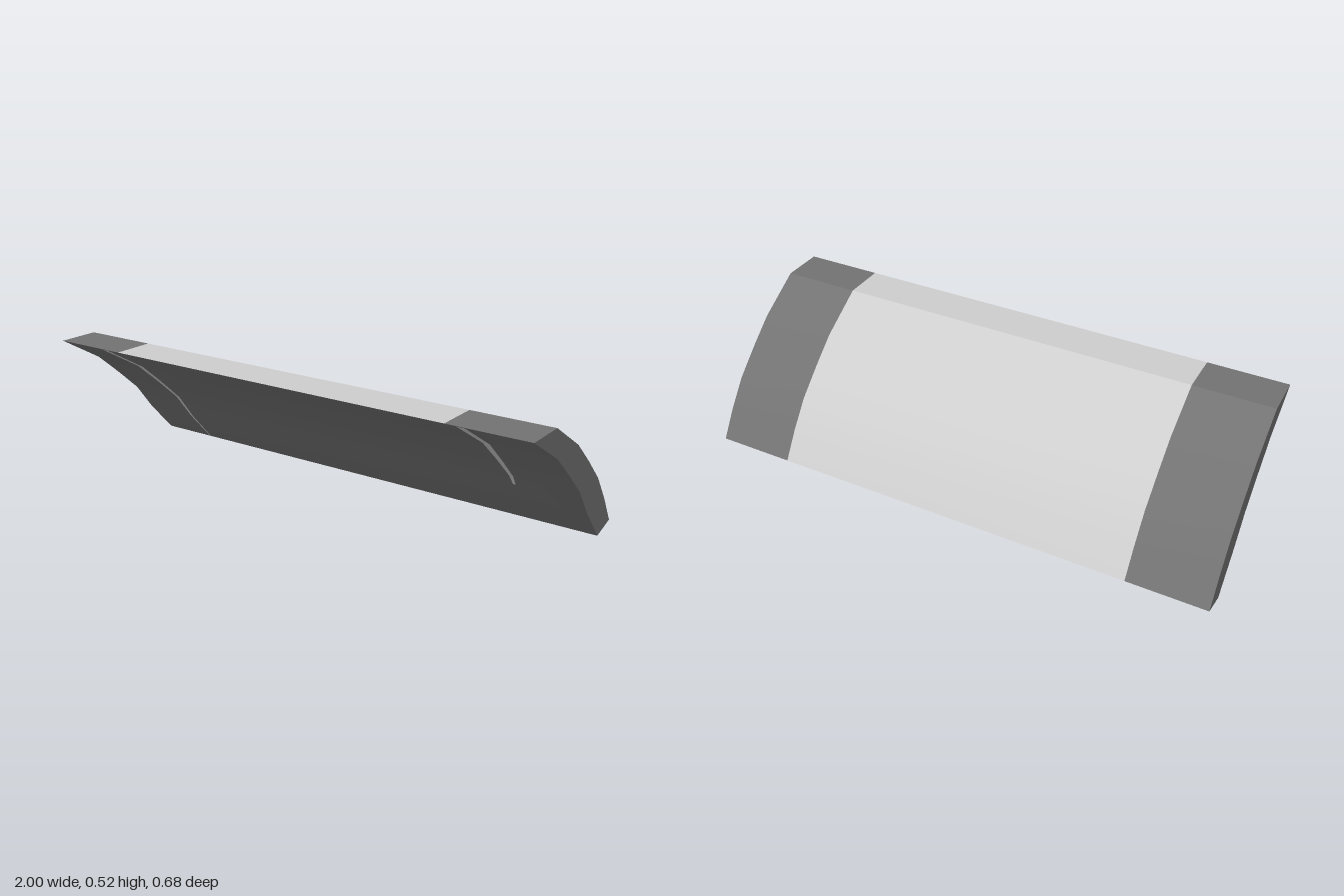
import * as THREE from 'three';
import { toCreasedNormals } from 'three/addons/utils/BufferGeometryUtils.js';

// Side profile as [z, y], running over the outer skin and back along the inner one
const outer = [[0.34, 0.515], [0.178, 0.515], [0, 0.408], [-0.1, 0.322], [-0.198, 0.23], [-0.275, 0.128], [-0.34, 0.025]];
const inner = [[-0.24, 0], [-0.125, 0.126], [-0.045, 0.23], [0.055, 0.32], [0.16, 0.409], [0.34, 0.515]];
const lowerEdge = [outer[outer.length - 1], inner[0]];

const dark = new THREE.MeshStandardMaterial({ color: 0x727272 });
dark.name = 'dark grey';
const light = new THREE.MeshStandardMaterial({ color: 0xcdcdcd });
light.name = 'light grey';

// Skin swept along a profile between x limits, which may vary from point to point
function strip(points, left, right) {
  const at = (limit, i) => (typeof limit === 'function' ? limit(i / (points.length - 1)) : limit);
  const corner = (limit, i) => [at(limit, i), points[i][1], points[i][0]];
  const positions = [];
  for (let i = 0; i < points.length - 1; i++) {
    const a = corner(left, i), b = corner(right, i);
    const c = corner(right, i + 1), d = corner(left, i + 1);
    positions.push(...a, ...b, ...c, ...a, ...c, ...d);
  }
  const geometry = new THREE.BufferGeometry();
  geometry.setAttribute('position', new THREE.Float32BufferAttribute(positions, 3));
  return toCreasedNormals(geometry, 0.45);
}

// Flat end face; side is +1 or -1
function endCap(side) {
  const outline = [...outer, ...inner.slice(0, -1)].map(([z, y]) => new THREE.Vector2(-side * z, y));
  return new THREE.ShapeGeometry(new THREE.Shape(outline)).rotateY(side * Math.PI / 2).translate(side, 0, 0);
}

export function createModel() {
  const group = new THREE.Group();
  group.name = 'curvedPanel';
  const add = (name, geometry, material) => {
    const mesh = new THREE.Mesh(geometry, material);
    mesh.name = name;
    group.add(mesh);
  };

  // Outer skin: light centre between two dark bands
  add('centrePanel', strip(outer, -0.7, 0.7), light);
  add('rightBand', strip(outer, -1, -0.7), dark);
  add('leftBand', strip(outer, 0.7, 1), dark);

  // Inner skin, lower edge and ends
  add('innerSkin', strip(inner, -1, 1), dark);
  add('lowerEdge', strip(lowerEdge, -1, 1), dark);
  add('leftEnd', endCap(1), dark);
  add('rightEnd', endCap(-1), dark);

  // Narrow tapering light streaks lying just proud of the inner skin
  const raise = ([z, y]) => [z + 0.001, y - 0.001];
  const longPath = inner.map(raise);
  const shortPath = [[-0.075, 0.19], ...inner.slice(2)].map(raise);
  add('rightStreak', strip(longPath, (t) => -0.768 - 0.014 * t, (t) => -0.762 + 0.012 * t), light);
  add('leftStreak', strip(shortPath, (t) => 0.748 - 0.006 * t, (t) => 0.758 + 0.014 * t), light);

  return group;
}
